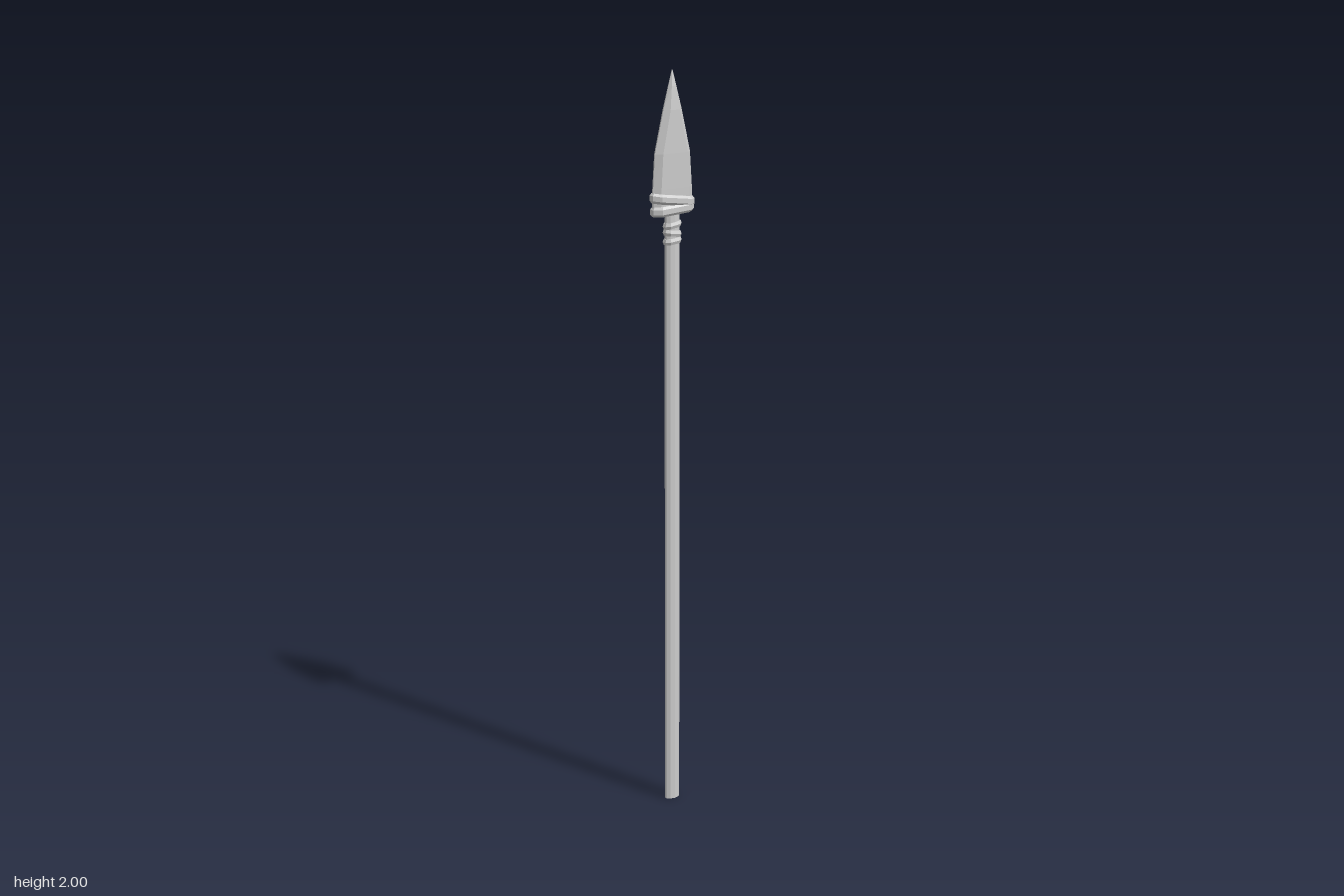
import * as THREE from 'three';

// Flattened eight-sided outline: w, t = half width and depth, k = width share of the flat face, e = half edge depth
function outline(w, t, k, e) {
  return [[w, e], [w * k, t], [0, t], [-w * k, t], [-w, e],
    [-w, -e], [-w * k, -t], [0, -t], [w * k, -t], [w, -e]];
}

// Skin rings [y, w, t, k, e] from bottom to top with caps; tilt raises each ring along x
function loft(rings, tilt = 0) {
  const pos = [], idx = [], n = 10;
  for (const [y, w, t, k, e] of rings)
    for (const [x, z] of outline(w, t, k, e)) pos.push(x, y + x * tilt, z);
  for (let r = 0; r < rings.length - 1; r++)
    for (let i = 0; i < n; i++) {
      const a = r * n + i, b = r * n + (i + 1) % n;
      idx.push(a, a + n, b, b, a + n, b + n);
    }
  const top = (rings.length - 1) * n;
  for (let i = 1; i < n - 1; i++) {
    idx.push(0, i, i + 1);
    idx.push(top, top + i + 1, top + i);
  }
  // outline runs from +x towards +z, so side faces and caps above point outward
  const geo = new THREE.BufferGeometry();
  geo.setAttribute('position', new THREE.Float32BufferAttribute(pos, 3));
  geo.setIndex(idx);
  const flat = geo.toNonIndexed();
  flat.computeVertexNormals();
  return flat;
}

export function createModel() {
  const group = new THREE.Group();
  const material = new THREE.MeshStandardMaterial({ color: 0xcccccc, flatShading: true });
  const add = (name, geometry) => {
    const mesh = new THREE.Mesh(geometry, material);
    mesh.name = name;
    group.add(mesh);
    return mesh;
  };

  // Oval wooden shaft
  const shaft = add('shaft', new THREE.CylinderGeometry(0.022, 0.022, 1.66, 10));
  shaft.scale.z = 0.6;
  shaft.position.y = 0.83;

  // Bevelled blade
  add('spearHead', loft([
    [1.637, 0.06, 0.015, 0.72, 0.003],
    [1.7, 0.06, 0.016, 0.72, 0.002],
    [1.79, 0.054, 0.016, 0.7, 0.002],
    [1.9, 0.028, 0.014, 0.5, 0.002],
    [1.96, 0.012, 0.008, 0.5, 0.001],
    [2.0, 0.001, 0.001, 0.5, 0.0005],
  ]));

  // Cord wound around the blade base, each turn at its own slant
  for (const [y, tilt, w] of [[1.645, 0.06, 0.063], [1.669, -0.14, 0.065]]) {
    const h = 0.013;
    add('headBinding', loft([
      [y - h, w - 0.005, 0.019, 0.7, 0.006],
      [y - h / 2, w, 0.024, 0.7, 0.008],
      [y + h / 2, w, 0.024, 0.7, 0.008],
      [y + h, w - 0.005, 0.019, 0.7, 0.006],
    ], tilt));
  }

  // Thin cord turns on the shaft below the blade
  for (const [y, tilt] of [[1.562, 0.1], [1.582, -0.12], [1.604, 0.15]]) {
    add('shaftBinding', loft([
      [y - 0.008, 0.022, 0.0135, 0.6, 0.006],
      [y, 0.025, 0.0165, 0.6, 0.007],
      [y + 0.008, 0.022, 0.0135, 0.6, 0.006],
    ], tilt));
  }
  return group;
}
